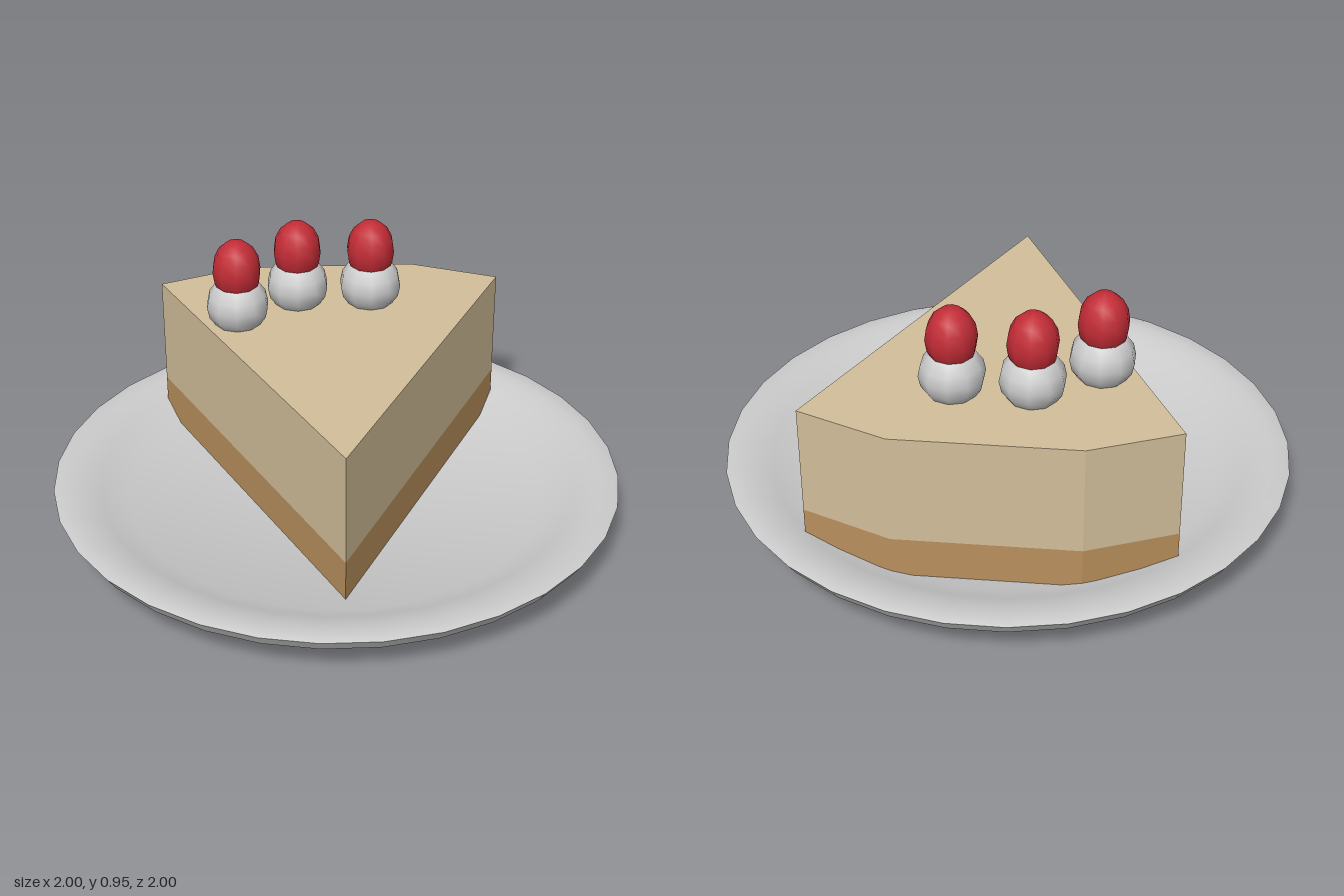
import * as THREE from 'three';
import { toCreasedNormals } from 'three/addons/utils/BufferGeometryUtils.js';

const material = (color) => new THREE.MeshStandardMaterial({ color });

// Slice outline seen from above, as [x, z]
const OUTLINE = [[-0.2, 0.65], [0.76, -0.36], [0.5, -0.57], [-0.1, -0.75], [-0.43, -0.72]];

function sliceLayer(name, bottom, top, mat) {
  const shape = new THREE.Shape(OUTLINE.map(([x, z]) => new THREE.Vector2(x, -z)));
  const geometry = new THREE.ExtrudeGeometry(shape, { depth: top - bottom, bevelEnabled: false });
  geometry.rotateX(-Math.PI / 2);
  const mesh = new THREE.Mesh(geometry, mat);
  mesh.name = name;
  mesh.position.y = bottom;
  return mesh;
}

function ball(name, radius, height, y, mat) {
  const mesh = new THREE.Mesh(new THREE.SphereGeometry(radius, 10, 8), mat);
  mesh.name = name;
  mesh.scale.y = height / (2 * radius);
  mesh.position.y = y;
  return mesh;
}

export function createModel() {
  const group = new THREE.Group();
  group.name = 'cakeSliceOnPlate';

  // Plate: flat foot, sloping underside, soft rim and shallow dish
  const profile = [
    [0, 0], [0.72, 0], [0.745, 0.055], [0.97, 0.12], [1, 0.165], [0.985, 0.171],
    [0.94, 0.171], [0.9, 0.165], [0.84, 0.147], [0.735, 0.095], [0, 0.095],
  ].map(([r, y]) => new THREE.Vector2(r, y));
  const plate = new THREE.Mesh(
    toCreasedNormals(new THREE.LatheGeometry(profile, 32), 0.7),
    material(0xcccccc),
  );
  plate.name = 'plate';
  group.add(plate);

  // Cake slice: crust below, filling above
  group.add(sliceLayer('crust', 0.09, 0.24, material(0xb98f5c)));
  group.add(sliceLayer('filling', 0.24, 0.635, material(0xd2be9a)));

  // Toppings: a berry on each dollop of cream
  const cream = material(0xcccccc);
  const red = material(0xc22c36);
  for (const [x, z] of [[-0.25, -0.34], [0, -0.42], [0.25, -0.34]]) {
    const topping = new THREE.Group();
    topping.name = 'topping';
    topping.position.set(x, 0, z);
    topping.add(ball('creamDollop', 0.112, 0.21, 0.705, cream));
    topping.add(ball('berry', 0.087, 0.225, 0.838, red));
    group.add(topping);
  }
  return group;
}
